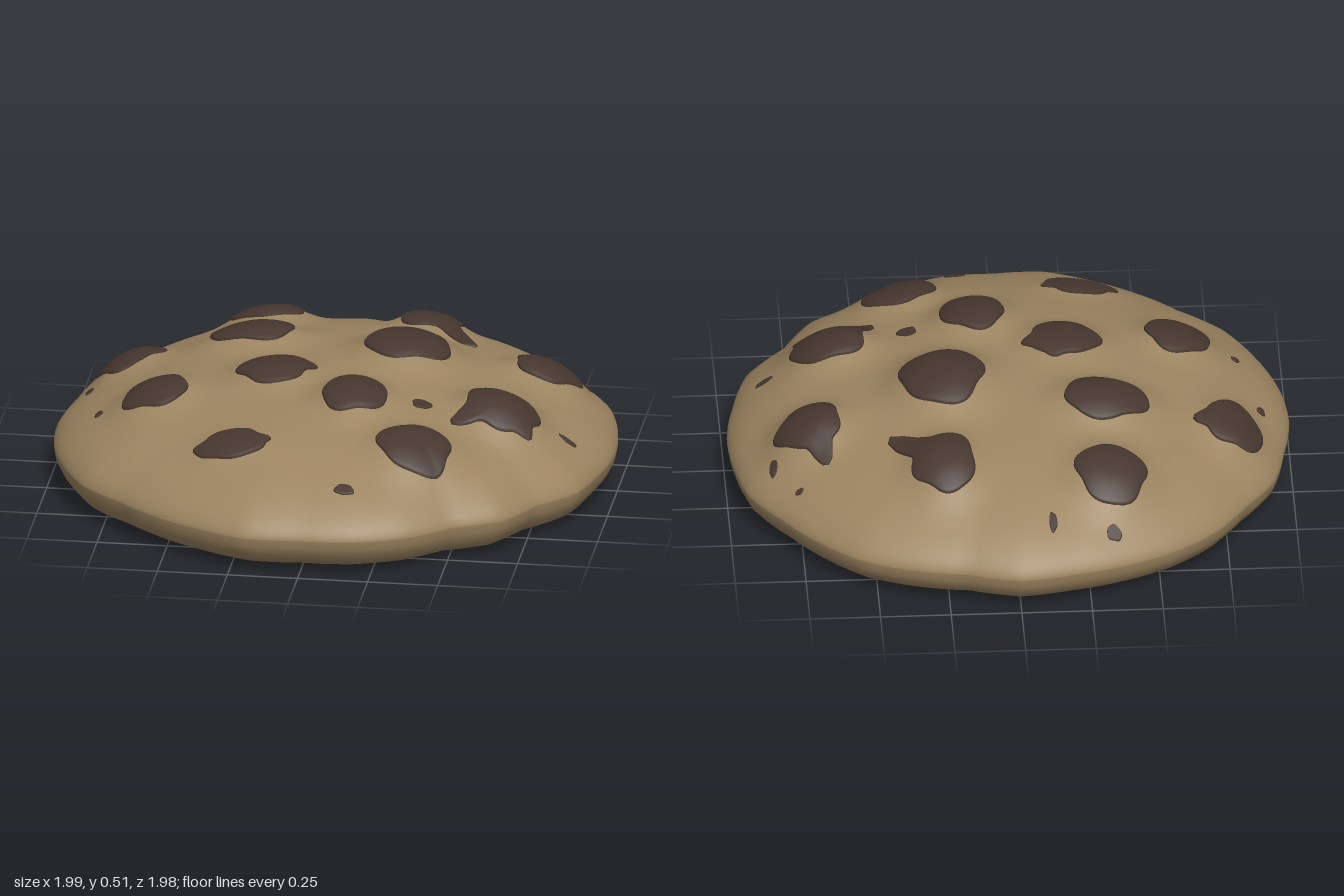
import * as THREE from 'three';

// edge radius at equal turns, from +x round through +z
const EDGE = [
  0.99, 0.98, 0.985, 0.94, 0.97, 0.93, 0.97, 0.985, 0.975, 1, 0.98, 0.97, 0.965, 0.995, 0.995, 1,
  1, 0.99, 1.005, 0.985, 1, 1, 0.99, 0.985, 1, 0.965, 0.985, 1.005, 0.995, 0.99, 1.01, 0.995,
];

// chips: position, half width, half depth, bump height, points as [degrees, extra length]
const CHIPS = [
  { x: -0.335, z: -0.645, w: 0.125, d: 0.125, h: 0.06, points: [] },
  { x: 0.25, z: -0.585, w: 0.11, d: 0.13, h: 0.06, points: [[40, 1.3]] },
  { x: -0.79, z: -0.26, w: 0.1, d: 0.12, h: 0.04, points: [[-5, 0.5]] },
  { x: -0.335, z: -0.27, w: 0.15, d: 0.11, h: 0.06, points: [] },
  { x: 0.235, z: -0.145, w: 0.15, d: 0.155, h: 0.08, points: [] },
  { x: 0.715, z: -0.26, w: 0.115, d: 0.11, h: 0.06, points: [[-107, 0.8]] },
  { x: -0.21, z: 0.115, w: 0.125, d: 0.11, h: 0.04, points: [[-12, 0.3], [-73, 0.2]] },
  { x: -0.615, z: 0.215, w: 0.115, d: 0.115, h: 0.05, points: [] },
  { x: 0.105, z: 0.305, w: 0.115, d: 0.125, h: 0.055, points: [] },
  { x: 0.62, z: 0.22, w: 0.13, d: 0.12, h: 0.07, points: [[139, 0.7], [45, 0.35]] },
  { x: 0.36, z: 0.58, w: 0.13, d: 0.12, h: 0.055, points: [] },
  { x: -0.29, z: 0.61, w: 0.115, d: 0.08, h: 0.02, points: [[180, 0.2], [-15, 0.3]] },
];

// crumbs of chocolate: x, z, half width, half depth
const CRUMBS = [
  [0.14, 0.815, 0.035, 0.02], [0.34, 0.26, 0.035, 0.028], [-0.335, -0.85, 0.026, 0.022],
  [-0.12, -0.83, 0.014, 0.035], [-0.82, 0.205, 0.014, 0.016], [-0.895, -0.09, 0.014, 0.02],
  [0.85, 0.18, 0.03, 0.012], [0.845, -0.37, 0.014, 0.03], [0.76, -0.51, 0.014, 0.01],
];

const TURN = 2 * Math.PI;

// edge radius in a given direction
function edgeRadius(angle) {
  const t = ((angle + TURN) % TURN) / TURN * EDGE.length;
  const i = Math.floor(t);
  return THREE.MathUtils.lerp(EDGE[i % EDGE.length], EDGE[(i + 1) % EDGE.length], t - i);
}

// height of the domed top, raised under each chip
function topHeight(x, z) {
  const f = Math.min(1, Math.hypot(x, z) / edgeRadius(Math.atan2(z, x)));
  let y = 0.13 + 0.3 * Math.pow(1 - f * f, 0.62);
  for (const chip of CHIPS) {
    const d = Math.hypot((x - chip.x) / chip.w, (z - chip.z) / chip.d) / 1.2;
    y += chip.h * Math.exp(-d * d * d) * Math.min(1, (1 - f) * 8);
  }
  return y;
}

// surface through closed rings of [x, y, z] points
function loft(rings) {
  const n = rings[0].length, index = [];
  for (let i = 0; i < rings.length - 1; i++) {
    for (let j = 0; j < n; j++) {
      const k = (j + 1) % n;
      const a = i * n + j, a2 = i * n + k, b = a + n, b2 = a2 + n;
      index.push(a, b2, b, a, a2, b2);
    }
  }
  const g = new THREE.BufferGeometry();
  g.setAttribute('position', new THREE.Float32BufferAttribute(rings.flat(2), 3));
  g.setIndex(index);
  g.computeVertexNormals();
  return g;
}

// uneven blob lying on the top surface, with a short rim down into the dough
function patch({ x, z, w, d, points }, seed, lift) {
  const SIDES = 60;
  const outline = Array.from({ length: SIDES }, (_, j) => {
    const a = (j / SIDES) * TURN;
    let r = 1 + 0.06 * Math.sin(3 * a + seed * 1.7) + 0.04 * Math.sin(5 * a + seed * 2.9);
    for (const [degrees, extra] of points) {
      const delta = a - THREE.MathUtils.degToRad(degrees);
      const off = Math.atan2(Math.sin(delta), Math.cos(delta)) / 0.24;
      r += extra * Math.exp(-off * off);
    }
    return [w * r * Math.cos(a), d * r * Math.sin(a)];
  });
  const ring = (t, dy) => outline.map(([ox, oz]) => {
    const px = x + ox * t, pz = z + oz * t;
    return [px, topHeight(px, pz) + dy, pz];
  });
  const rings = [0.001, 0.17, 0.34, 0.5, 0.67, 0.84, 0.97].map((t) => ring(t, lift));
  rings.push(ring(1, lift * 0.6), ring(1.005, -0.006));
  return loft(rings);
}

export function createModel() {
  const model = new THREE.Group();
  const dough = new THREE.MeshStandardMaterial({ color: 0x9c8460 });
  dough.name = 'baked dough';
  const chocolate = new THREE.MeshStandardMaterial({ color: 0x46372f });
  chocolate.name = 'dark chocolate';
  const add = (name, geometry, material) => {
    const mesh = new THREE.Mesh(geometry, material);
    mesh.name = name;
    model.add(mesh);
  };

  const SIDES = 160, STEPS = 56;
  const edgeRing = (f, height) => Array.from({ length: SIDES }, (_, j) => {
    const a = (j / SIDES) * TURN;
    const r = f * edgeRadius(a), x = r * Math.cos(a), z = r * Math.sin(a);
    return [x, height ?? topHeight(x, z), z];
  });

  // domed top and rounded side
  const rings = [];
  for (let i = 0; i <= STEPS; i++) rings.push(edgeRing(Math.max(0.001, Math.sin((i / STEPS) * Math.PI / 2))));
  for (const [f, y] of [[0.995, 0.1], [0.98, 0.07], [0.955, 0.04], [0.92, 0.02], [0.89, 0.01]]) rings.push(edgeRing(f, y));
  add('cookieBody', loft(rings), dough);

  // flat underside
  add('cookieBase', loft([edgeRing(0.89, 0.01), edgeRing(0.5, 0.003), edgeRing(0.001, 0)]), dough);

  // chips and crumbs
  CHIPS.forEach((chip, i) => add(`chocolateChip${i + 1}`, patch(chip, i, 0.009), chocolate));
  CRUMBS.forEach(([x, z, w, d], i) => {
    add(`chocolateCrumb${i + 1}`, patch({ x, z, w, d, points: [] }, i, 0.006), chocolate);
  });
  return model;
}
